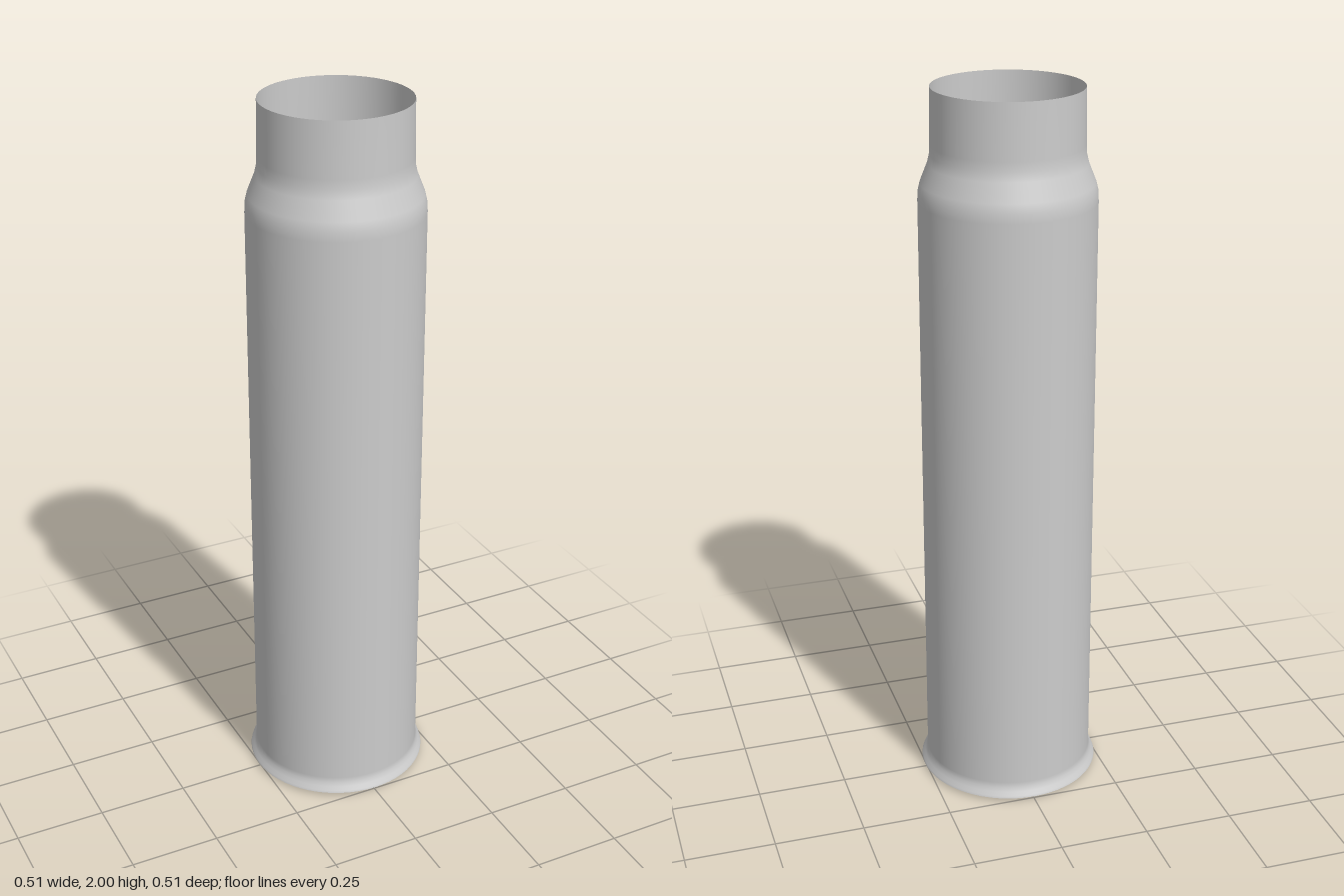
import * as THREE from 'three';

const SEGMENTS = 64;
const material = new THREE.MeshStandardMaterial({ color: 0xcccccc, side: THREE.DoubleSide });

function addPart(group, name, geometry, y = 0) {
  const mesh = new THREE.Mesh(geometry, material);
  mesh.name = name;
  mesh.position.y = y;
  group.add(mesh);
  return mesh;
}

export function createModel() {
  const group = new THREE.Group();
  group.name = 'shellCasing';

  // Thin open wall: flared rim, straight body, sloping shoulder, narrow neck
  const profile = [
    [0.256, 0.008], [0.254, 0.014], [0.247, 0.024], [0.242, 0.036], [0.239, 0.05],
    [0.238, 1.70], [0.237, 1.725], [0.231, 1.75], [0.211, 1.80], [0.205, 1.825],
    [0.204, 1.85], [0.202, 2.0],
  ].map(([r, y]) => new THREE.Vector2(r, y));
  addPart(group, 'casingWall', new THREE.LatheGeometry(profile, SEGMENTS));

  // Flat base closing the bottom
  const base = new THREE.CircleGeometry(0.256, SEGMENTS).rotateX(Math.PI / 2);
  addPart(group, 'base', base, 0.008);

  // Small raised primer disc under the base
  addPart(group, 'primer', new THREE.CylinderGeometry(0.077, 0.077, 0.007, 48), 0.0035);

  return group;
}
